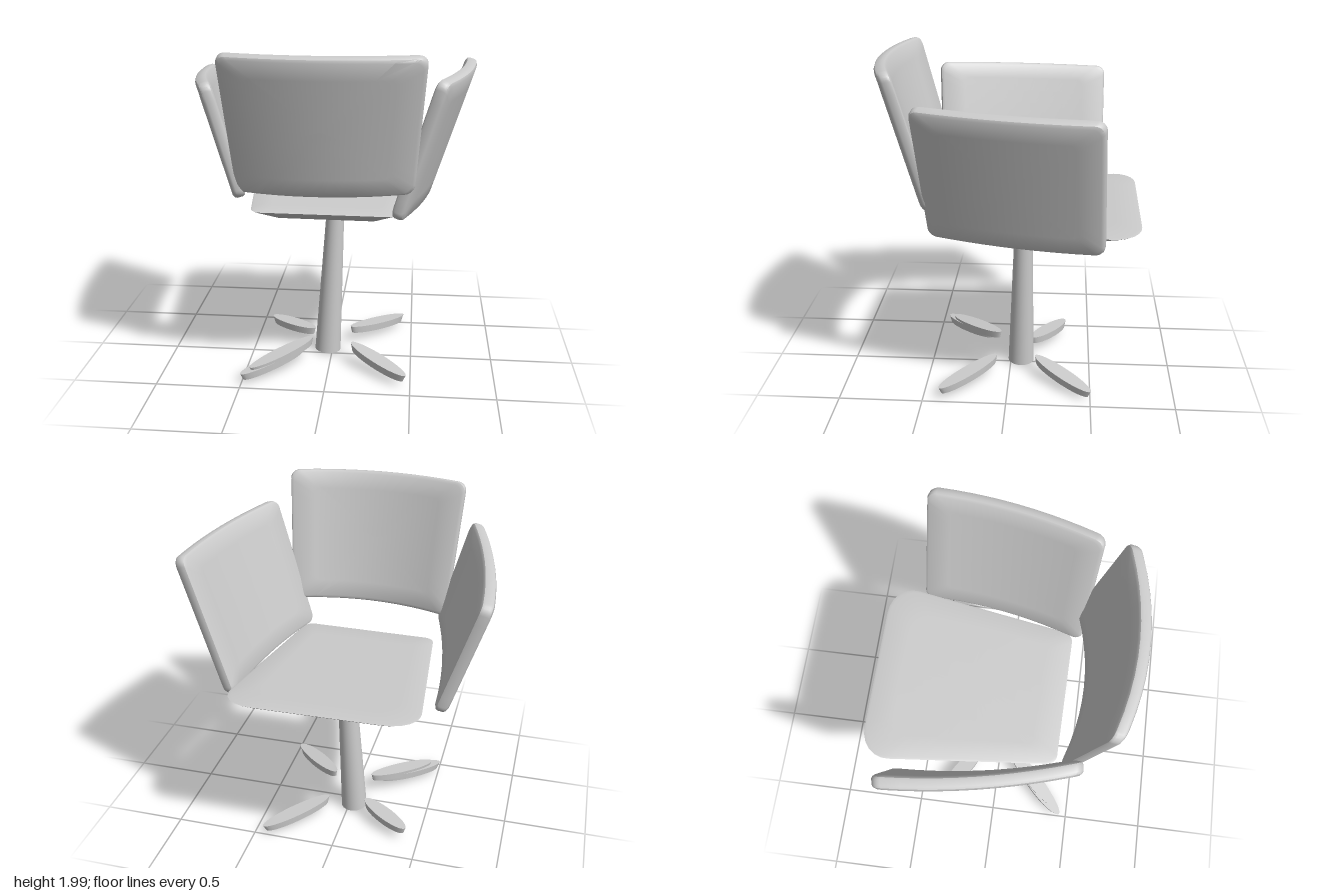
import * as THREE from 'three';
import { toCreasedNormals } from 'three/addons/utils/BufferGeometryUtils.js';

const material = new THREE.MeshStandardMaterial({ color: 0xcccccc });
const V = (p) => new THREE.Vector3(...p);

// Counter-clockwise outline of a rounded rectangle; rLow / rHigh are the corner radii at v < 0 / v > 0
function outline(a, b, rLow, rHigh) {
  const corners = [[1, -1, rLow], [1, 1, rHigh], [-1, 1, rHigh], [-1, -1, rLow]];
  const points = [];
  corners.forEach(([sx, sy, r], k) => {
    const arc = [];
    for (let i = 0; i <= 6; i++) {
      const t = (k - 1 + i / 6) * Math.PI / 2;
      arc.push([sx * (a - r) + r * Math.cos(t), sy * (b - r) + r * Math.sin(t)]);
    }
    // Subdivide the straight edge leading to this corner so the panel can bend
    if (points.length) addEdge(points, arc[0]);
    points.push(...arc);
  });
  addEdge(points, points[0]);
  return points;
}

function addEdge(points, end) {
  const start = points[points.length - 1];
  for (let i = 1; i < 10; i++) {
    const t = i / 10;
    points.push([start[0] + (end[0] - start[0]) * t, start[1] + (end[1] - start[1]) * t]);
  }
}

// Bent cushion panel spanning four corners; profile rows are [inset, offset along normal]
function panel(name, corners, bulge, radii, profile) {
  const [A, B, C, D] = corners.map(V);
  const bend = V(bulge);
  const du = B.clone().sub(A).add(C).sub(D).multiplyScalar(0.25);
  const dv = D.clone().sub(A).add(C).sub(B).multiplyScalar(0.25);
  const a = du.length(), b = dv.length();
  const normal = du.clone().cross(dv).normalize();
  const place = (x, y, w) => {
    const u = x / a, v = y / b;
    const low = A.clone().lerp(B, (u + 1) / 2);
    const high = D.clone().lerp(C, (u + 1) / 2);
    return low.lerp(high, (v + 1) / 2).addScaledVector(bend, 1 - u * u).addScaledVector(normal, w);
  };
  // Rings run from the centre of one face, around the rim, to the centre of the other
  const first = profile[0], last = profile[profile.length - 1];
  const scales = [0.001, 0.25, 0.5, 0.75];
  const rings = [
    ...scales.map((s) => [...first, s]),
    ...profile.map((p) => [...p, 1]),
    ...scales.slice().reverse().map((s) => [...last, s]),
  ];
  const positions = [], index = [];
  let n = 0;
  rings.forEach(([inset, w, s]) => {
    const pts = outline(a - inset, b - inset, ...radii);
    n = pts.length;
    pts.forEach(([x, y]) => positions.push(...place(x * s, y * s, w).toArray()));
  });
  for (let i = 0; i < rings.length - 1; i++) {
    for (let j = 0; j < n; j++) {
      const p = i * n + j, q = i * n + (j + 1) % n;
      index.push(p, q, q + n, p, q + n, p + n);
    }
  }
  const geometry = new THREE.BufferGeometry();
  geometry.setAttribute('position', new THREE.Float32BufferAttribute(positions, 3));
  geometry.setIndex(index);
  const mesh = new THREE.Mesh(toCreasedNormals(geometry, 0.6), material);
  mesh.name = name;
  return mesh;
}

// Tapered pole between two points
function pole(name, bottom, top, rBottom, rTop) {
  const from = V(bottom), to = V(top);
  const axis = to.clone().sub(from);
  const mesh = new THREE.Mesh(new THREE.CylinderGeometry(rTop, rBottom, axis.length(), 32), material);
  mesh.position.copy(from).add(to).multiplyScalar(0.5);
  mesh.quaternion.setFromUnitVectors(new THREE.Vector3(0, 1, 0), axis.normalize());
  mesh.name = name;
  return mesh;
}

// Thin elliptical foot pad lying between its inner and outer tips
function foot(name, inner, outer) {
  const from = V(inner), to = V(outer);
  const geometry = new THREE.CylinderGeometry(1, 0.93, 0.045, 32);
  geometry.scale(0.05, 1, from.distanceTo(to) / 2);
  const mesh = new THREE.Mesh(geometry, material);
  mesh.position.copy(from).add(to).multiplyScalar(0.5);
  mesh.lookAt(to);
  mesh.name = name;
  return mesh;
}

export function createModel() {
  const group = new THREE.Group();
  const slab = [[0.02, -0.037], [0.005, -0.028], [0, -0.015], [0, 0.015], [0.005, 0.028], [0.02, 0.037]];
  const corner = [0.05, 0.05];

  // Seat: flat top with a wide sloping underside
  group.add(panel('seat',
    [[-0.43, 1.05, 0.37], [0.4, 1.05, 0.385], [0.575, 1.1, -0.755], [-0.555, 1.115, -0.765]],
    [0, 0, 0], [0.06, 0.17],
    [[0.16, -0.088], [0.13, -0.083], [0.01, -0.012], [0, -0.004], [0.012, 0]]));

  // Curved backrest
  group.add(panel('backrest',
    [[-0.495, 1.195, 0.41], [0.495, 1.205, 0.41], [0.55, 1.98, 0.625], [-0.545, 1.98, 0.625]],
    [0, 0, 0.095], corner, slab));

  // Side wings, splayed outward and slightly uneven
  group.add(panel('leftWing',
    [[0.39, 1.04, 0.435], [0.575, 1.02, -0.55], [0.83, 1.815, -0.52], [0.63, 1.825, 0.485]],
    [0.045, 0, 0], corner, slab));
  group.add(panel('rightWing',
    [[-0.62, 1.09, -0.56], [-0.46, 1.155, 0.465], [-0.64, 1.8, 0.49], [-0.835, 1.745, -0.56]],
    [-0.04, 0, 0], corner, slab));

  // Leaning tapered column
  group.add(pole('column', [-0.03, 0.003, -0.065], [0.02, 1.01, -0.08], 0.081, 0.052));

  // Foot pads around the column, one of them doubled
  group.add(foot('footBackLeft', [0.13, 0.1, 0.08], [0.47, 0.05, 0.4]));
  group.add(foot('footFrontLeft', [0.11, 0.09, -0.16], [0.44, 0.04, -0.5]));
  group.add(foot('footFrontRight', [-0.12, 0.085, -0.13], [-0.42, 0.07, -0.34]));
  group.add(foot('footBackRight', [-0.11, 0.125, 0.07], [-0.45, 0.065, 0.41]));
  group.add(foot('footBackRightLower', [-0.16, 0.095, 0.12], [-0.5, 0.04, 0.45]));
  return group;
}
